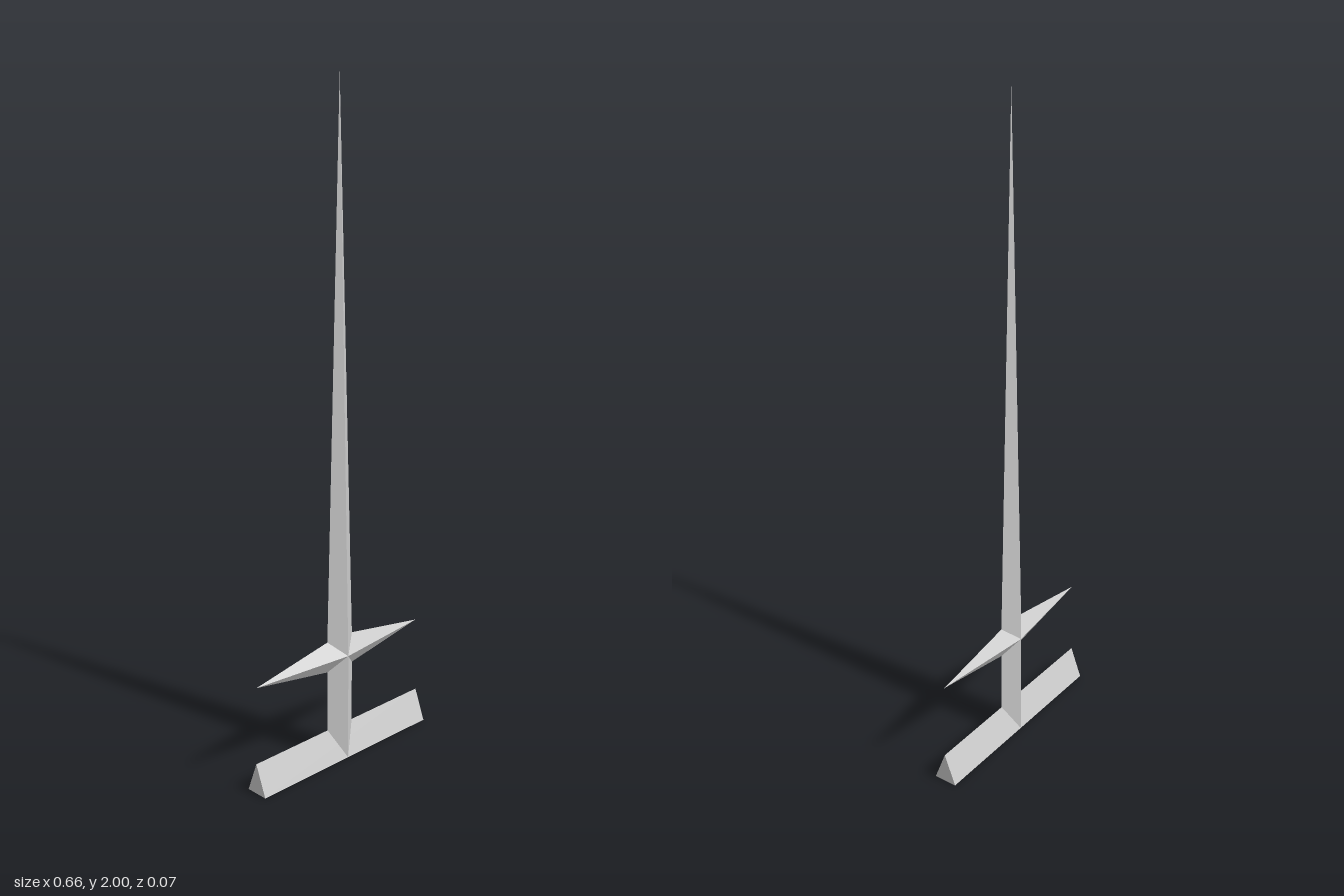
import * as THREE from 'three';

const HALF_W = 0.05, HALF_D = 0.036, GUARD_Y = 0.333, SHOULDER = 0.048;

// Joins two four-cornered rings, ordered counterclockwise as seen from the end ring.
// An end ring of a single point makes a pyramid.
function loft(name, start, end) {
  const points = [];
  for (let i = 0; i < 4; i++) {
    const j = (i + 1) % 4;
    if (end.length === 1) points.push(...start[i], ...start[j], ...end[0]);
    else points.push(...start[i], ...start[j], ...end[j], ...start[i], ...end[j], ...end[i]);
  }
  const geometry = new THREE.BufferGeometry();
  geometry.setAttribute('position', new THREE.Float32BufferAttribute(points, 3));
  geometry.computeVertexNormals();
  return makeMesh(name, geometry);
}

function makeMesh(name, geometry) {
  const material = new THREE.MeshStandardMaterial({
    color: 0xcccccc, flatShading: true, side: THREE.DoubleSide,
  });
  const mesh = new THREE.Mesh(geometry, material);
  mesh.name = name;
  return mesh;
}

// Diamond cross-section whose side corners and ridge corners sit at separate heights
const diamond = (sideY, ridgeY) => [
  [HALF_W, sideY, 0], [0, ridgeY, -HALF_D], [-HALF_W, sideY, 0], [0, ridgeY, HALF_D],
];

export function createModel() {
  const model = new THREE.Group();
  model.name = 'sword';

  // Long tapering blade
  model.add(loft('blade', diamond(GUARD_Y + SHOULDER, GUARD_Y), [[0, 2, 0]]));

  // Straight grip, running down into the base
  model.add(loft('grip', diamond(0, 0), diamond(GUARD_Y - SHOULDER, GUARD_Y)));

  // Pointed guard spikes, left and right
  for (const side of [1, -1]) {
    const root = [
      [side * HALF_W, GUARD_Y + SHOULDER, 0], [0, GUARD_Y, side * HALF_D],
      [side * HALF_W, GUARD_Y - SHOULDER, 0], [0, GUARD_Y, -side * HALF_D],
    ];
    model.add(loft(side > 0 ? 'guardLeft' : 'guardRight', root, [[side * 0.325, GUARD_Y, 0]]));
  }

  // Triangular bar at the foot
  const triangle = new THREE.Shape([
    new THREE.Vector2(-HALF_D, 0), new THREE.Vector2(HALF_D, 0), new THREE.Vector2(0, 0.095),
  ]);
  const bar = new THREE.ExtrudeGeometry(triangle, { depth: 0.66, bevelEnabled: false });
  bar.translate(0, 0, -0.33).rotateY(Math.PI / 2);
  model.add(makeMesh('base', bar));

  return model;
}
